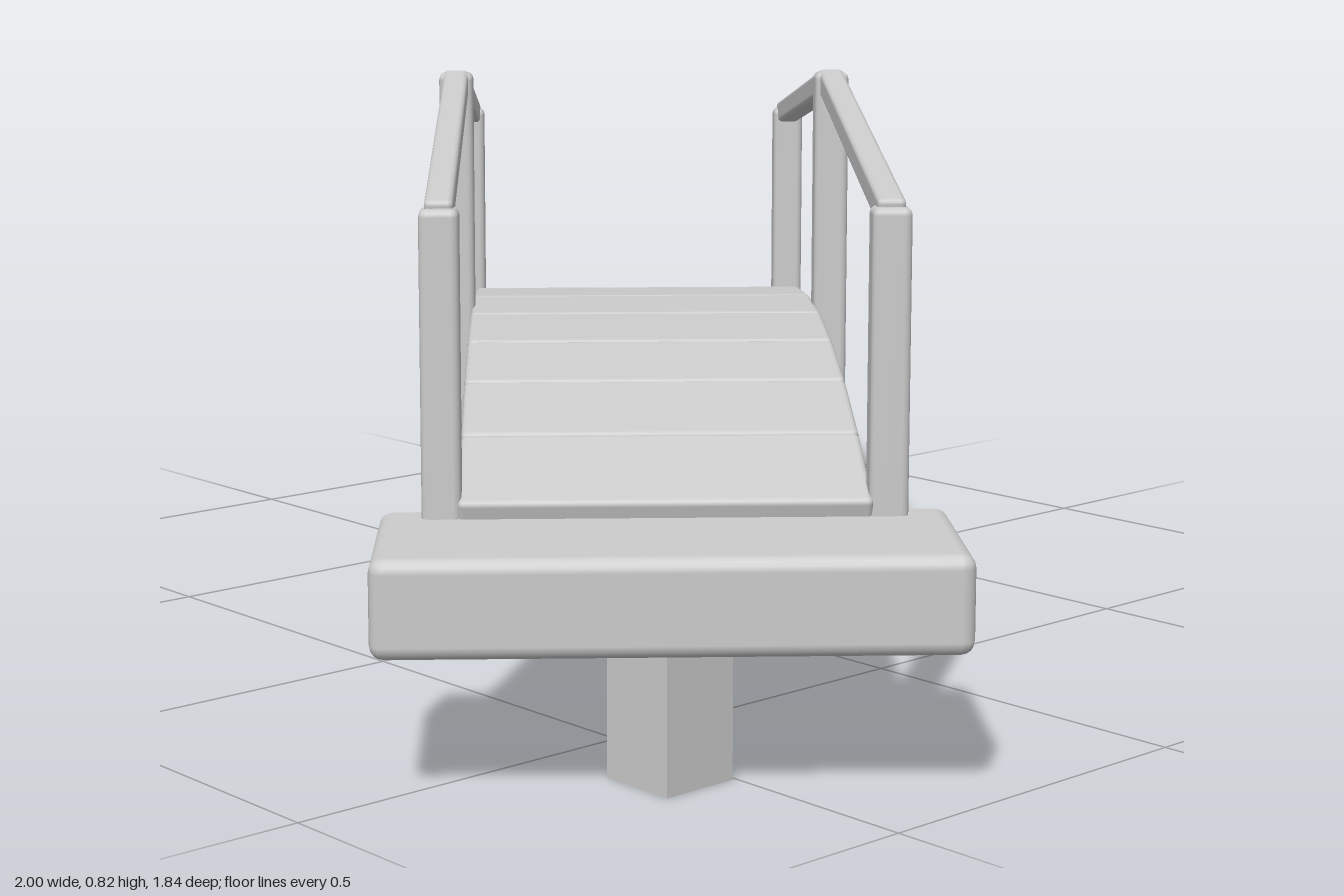
import * as THREE from 'three';
import { RoundedBoxGeometry } from 'three/addons/geometries/RoundedBoxGeometry.js';

export function createModel() {
  const model = new THREE.Group();
  model.name = 'footbridge';
  const grey = new THREE.MeshStandardMaterial({ color: 0xcccccc });
  grey.name = 'plain grey';

  // The bridge is laid out along local x, then turned diagonally
  const bridge = new THREE.Group();
  bridge.name = 'bridge';
  bridge.rotation.y = THREE.MathUtils.degToRad(-40);
  model.add(bridge);

  const add = (parent, name, geometry, x, y, z, tilt = 0) => {
    const mesh = new THREE.Mesh(geometry, grey);
    mesh.name = name;
    mesh.position.set(x, y, z);
    mesh.rotation.z = tilt;
    parent.add(mesh);
    return mesh;
  };
  const block = (w, h, d, r) => new RoundedBoxGeometry(w, h, d, 2, r);

  // Arched deck: planks follow a shallow parabola
  const count = 9, pitch = 0.176, bow = 0.21;
  for (let i = 0; i < count; i++) {
    const s = (i - (count - 1) / 2) * pitch;
    const tilt = Math.atan(-2 * bow * s);
    add(bridge, 'plank', block(pitch / Math.cos(tilt), 0.045, 0.52, 0.008),
      s, 0.443 - bow * s * s, 0, tilt);
  }

  // End slabs, each on a square footing set square to the world axes
  for (const end of [-1, 1]) {
    add(bridge, 'endSlab', block(0.28, 0.124, 0.72, 0.018), end * 0.87, 0.25, 0);
    add(model, 'footing', new THREE.BoxGeometry(0.11, 0.22, 0.11), end * 0.67, 0.11, end * 0.56);
  }

  // Railings: three posts and two sloping rails on each side
  const post = (x, z, bottom, top) =>
    add(bridge, 'post', block(0.05, top - bottom, 0.05, 0.01), x, (bottom + top) / 2, z);
  const reach = 0.767, lowY = 0.693, highY = 0.8;
  const slope = Math.atan2(highY - lowY, reach);
  const railLength = Math.hypot(reach, highY - lowY) + 0.02;
  for (const z of [-0.28, 0.28]) {
    post(0, z, 0.28, 0.815);
    for (const end of [-1, 1]) {
      post(end * reach, z, 0.22, 0.7);
      add(bridge, 'rail', block(railLength, 0.036, 0.036, 0.007),
        end * reach / 2, (lowY + highY) / 2, z, -end * slope);
    }
  }
  return model;
}
